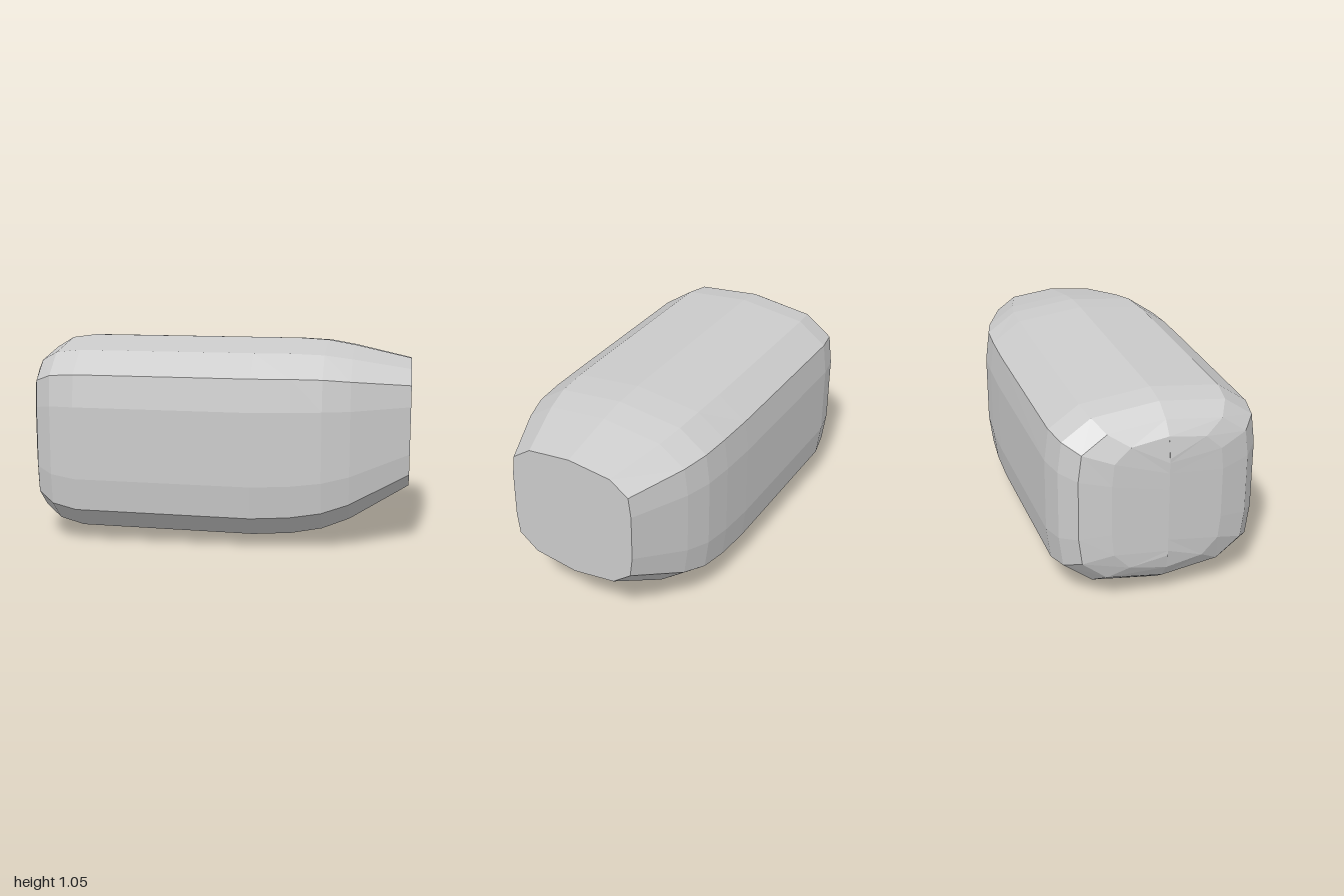
import * as THREE from 'three';

// Half outline of the cross-section, top to bottom: [share of half width, share of height]
const HALF = [[0, 1], [0.67, 0.96], [0.96, 0.855], [1, 0.695], [1, 0.33], [0.96, 0.168], [0.67, 0.05], [0, 0]];
const OUTLINE = [...HALF, ...HALF.slice(1, -1).reverse().map(([w, h]) => [-w, h])];

// Stations along the length: [x, half width, bottom, top]
const STATIONS = [
  [-1, 0, 0.27, 0.8], // domed end closes on an upright ridge
  [-0.98, 0.28, 0.19, 0.91],
  [-0.93, 0.43, 0.115, 0.975],
  [-0.84, 0.503, 0.05, 1.03],
  [-0.71, 0.53, 0.017, 1.048],
  [0.2, 0.53, 0, 1.048],
  [0.4, 0.525, 0.014, 1.048],
  [0.56, 0.513, 0.045, 1.04],
  [0.7, 0.474, 0.1, 1.016],
  [1, 0.345, 0.28, 0.95],
];

function loft() {
  const positions = [], index = [], n = OUTLINE.length;
  for (const [x, width, bottom, top] of STATIONS) {
    for (const [w, h] of OUTLINE) positions.push(x, bottom + h * (top - bottom), w * width);
  }
  // Skin between neighbouring stations
  for (let s = 0; s < STATIONS.length - 1; s++) {
    for (let i = 0; i < n; i++) {
      const a = s * n + i, b = s * n + (i + 1) % n, c = b + n, d = a + n;
      index.push(a, b, c, a, c, d);
    }
  }
  // Flat cap on the tapered end
  const last = (STATIONS.length - 1) * n;
  for (let i = 1; i < n - 1; i++) index.push(last, last + i, last + i + 1);

  // Check the winding by signed volume, so that all faces point outwards
  const p = k => new THREE.Vector3().fromArray(positions, k * 3);
  let volume = 0;
  for (let i = 0; i < index.length; i += 3) {
    volume += p(index[i]).dot(p(index[i + 1]).cross(p(index[i + 2])));
  }
  if (volume < 0) index.reverse();

  const geometry = new THREE.BufferGeometry();
  geometry.setAttribute('position', new THREE.Float32BufferAttribute(positions, 3));
  geometry.setIndex(index);
  geometry.computeVertexNormals();
  return geometry;
}

export function createModel() {
  const group = new THREE.Group();
  const body = new THREE.Mesh(loft(), new THREE.MeshStandardMaterial({ color: 0xcccccc, flatShading: true }));
  body.name = 'taperedBody';
  group.add(body);
  return group;
}
